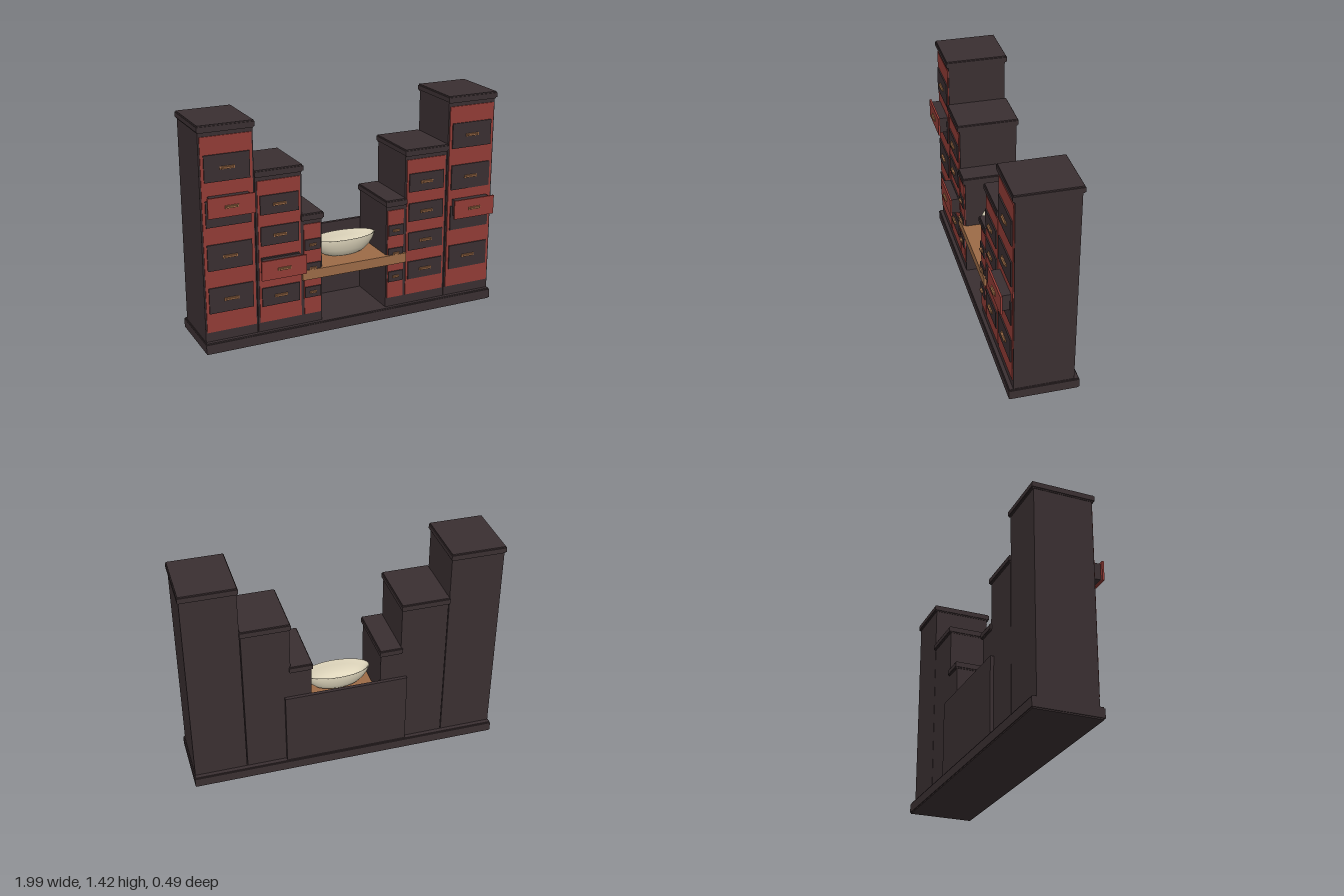
import * as THREE from 'three';

const mat = (name, color) => {
  const m = new THREE.MeshStandardMaterial({ color });
  m.name = name;
  return m;
};

export function createModel() {
  const darkWood = mat('dark wood', 0x3a2f31);
  const redPaint = mat('red lacquer', 0x933c36);
  const lightWood = mat('light wood', 0x9c6b47);
  const ceramic = mat('cream ceramic', 0xe2d9bf);
  ceramic.side = THREE.DoubleSide;

  const model = new THREE.Group();
  model.name = 'steppedCabinet';
  const cabinet = new THREE.Group();
  cabinet.name = 'cabinet';
  cabinet.position.x = -0.004;
  model.add(cabinet);

  // Box given by its limits on each axis
  const box = (parent, name, material, [x0, x1], [y0, y1], [z0, z1]) => {
    const mesh = new THREE.Mesh(new THREE.BoxGeometry(x1 - x0, y1 - y0, z1 - z0), material);
    mesh.position.set((x0 + x1) / 2, (y0 + y1) / 2, (z0 + z1) / 2);
    mesh.name = name;
    parent.add(mesh);
    return mesh;
  };
  const span = (c, size) => [c - size / 2, c + size / 2];

  // Slab with a slightly set-back layer above and below
  const slab = (parent, name, x, [y0, y1], [z0, z1]) => {
    const e = 0.005;
    box(parent, name, darkWood, x, [y0 + 0.008, y1 - 0.008], [z0, z1]);
    box(parent, name + 'Core', darkWood, [x[0] + e, x[1] - e], [y0, y1], [z0 + e, z1 - e]);
  };

  // Flat pull: back plate and a raised bar
  const handle = (parent, x, y, z, width, height) => {
    box(parent, 'handlePlate', lightWood, span(x, width), span(y, height), [z, z + 0.006]);
    box(parent, 'handleBar', lightWood, span(x, width * 0.8), span(y, height * 0.6), [z, z + 0.014]);
  };

  // Plinth and rear panel
  slab(cabinet, 'plinth', [-0.996, 0.996], [0, 0.073], [-0.246, 0.188]);
  box(cabinet, 'rearPanel', darkWood, [-0.395, 0.395], [0.07, 0.567], [-0.236, -0.213]);

  // Towers, from outside to inside; every tower is mirrored
  const towers = [
    { name: 'tall', x: 0.821, cap: 0.35, body: 0.334, panel: 0.316, top: 1.42, drawer: [0.28, 0.163],
      rows: [1.16, 0.885, 0.613, 0.34], pull: [0.092, 0.018] },
    { name: 'middle', x: 0.501, cap: 0.31, body: 0.296, panel: 0.274, top: 1.113, drawer: [0.246, 0.12],
      rows: [0.892, 0.696, 0.5, 0.302], pull: [0.084, 0.018] },
    { name: 'small', x: 0.288, cap: 0.148, body: 0.13, panel: 0.112, top: 0.798, drawer: [0.104, 0.07],
      rows: [0.595, 0.44, 0.282], pull: [0.045, 0.015] },
  ];
  for (const side of [-1, 1]) {
    for (const t of towers) {
      const g = new THREE.Group();
      g.name = t.name + (side > 0 ? 'LeftTower' : 'RightTower');
      cabinet.add(g);
      const x = side * t.x;
      box(g, 'body', darkWood, span(x, t.body), [0.07, t.top - 0.04], [-0.214, 0.16]);
      slab(g, 'cap', span(x, t.cap), [t.top - 0.045, t.top], [-0.227, 0.176]);
      box(g, 'facePanel', redPaint, span(x, t.panel), [0.135, t.top - 0.07], [0.16, 0.166]);
      for (const y of t.rows) {
        box(g, 'drawerFront', darkWood, span(x, t.drawer[0]), span(y, t.drawer[1]), [0.16, 0.174]);
        handle(g, x, y, 0.174, ...t.pull);
      }
    }
  }

  // Pulled-out drawers
  for (const [x, y] of [[-0.821, 0.941], [-0.501, 0.499], [0.821, 0.687]]) {
    const g = new THREE.Group();
    g.name = 'openDrawer';
    cabinet.add(g);
    box(g, 'drawerBox', darkWood, span(x, 0.25), span(y, 0.106), [0.16, 0.222]);
    box(g, 'drawerFace', redPaint, span(x, 0.292), span(y, 0.124), [0.222, 0.234]);
    handle(g, x, y, 0.234, 0.084, 0.018);
  }

  // Counter between and across the small towers
  box(cabinet, 'counter', lightWood, [-0.358, 0.358], [0.369, 0.432], [-0.182, 0.181]);

  // Oval basin standing on the counter
  const profile = [
    [0, 0.432], [0.11, 0.432], [0.145, 0.447], [0.18, 0.478], [0.205, 0.515], [0.218, 0.55],
    [0.21, 0.552], [0.195, 0.518], [0.17, 0.484], [0.14, 0.458], [0.11, 0.446], [0, 0.444],
  ].map(([r, y]) => new THREE.Vector2(r, y));
  const basin = new THREE.Mesh(new THREE.LatheGeometry(profile, 48), ceramic);
  basin.name = 'basin';
  basin.scale.z = 0.44;
  cabinet.add(basin);

  return model;
}
